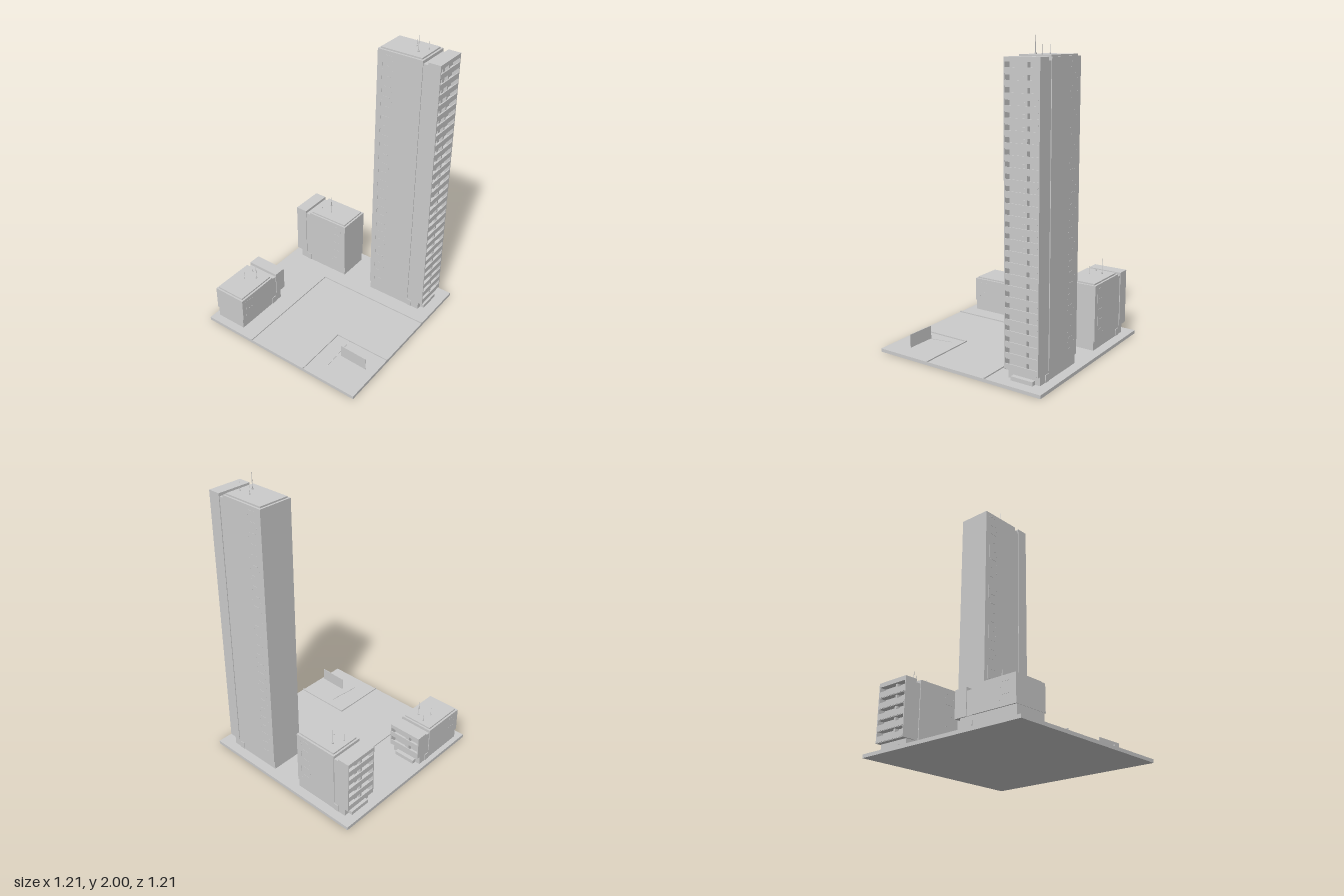
import * as THREE from 'three';

const mat = new THREE.MeshStandardMaterial({ color: 0xcccccc, flatShading: true });

// Box given by its minimum and maximum corners
function box(parent, name, x0, x1, y0, y1, z0, z1) {
  const mesh = new THREE.Mesh(new THREE.BoxGeometry(x1 - x0, y1 - y0, z1 - z0), mat);
  mesh.position.set((x0 + x1) / 2, (y0 + y1) / 2, (z0 + z1) / 2);
  mesh.name = name;
  parent.add(mesh);
  return mesh;
}

function mast(parent, x, z, y0, y1, r) {
  const pole = new THREE.Mesh(new THREE.CylinderGeometry(r * 0.6, r, y1 - y0, 6), mat);
  pole.position.set(x, (y0 + y1) / 2, z);
  pole.name = 'roofMast';
  parent.add(pole);
  box(parent, 'mastFoot', x - r * 2, x + r * 2, y0, y0 + 0.008, z - r * 2, z + r * 2);
}

// Balcony front with its corners cut off
function parapetGeometry(w, h) {
  const c = 0.007, a = w / 2;
  const s = new THREE.Shape();
  s.moveTo(-a + c, 0);
  s.lineTo(a - c, 0);
  s.lineTo(a, c);
  s.lineTo(a, h);
  s.lineTo(-a, h);
  s.lineTo(-a, c);
  return new THREE.ExtrudeGeometry(s, { depth: 0.006, bevelEnabled: false });
}

const W = 0.1175;      // half width
const STOREY = 0.0683;
const BACK = -0.435;   // the front is at z = 0

// One block of flats, facing +z, with the given number of storeys
function building(name, storeys, bottom) {
  const g = new THREE.Group();
  g.name = name;
  const top = bottom + storeys * STOREY + 0.027;

  // Ground floor, entrance step and side doors
  box(g, 'groundFloor', -W + 0.008, W - 0.008, 0.02, bottom, BACK + 0.002, -0.035);
  box(g, 'entranceStep', -0.075, 0.075, 0.02, 0.048, -0.035, -0.006);
  for (const s of [-1, 1]) {
    const x = s * (W - 0.008);
    box(g, 'sideDoor', x - 0.004, x + 0.004, 0.02, 0.07, -0.125, -0.09);
  }

  // Main volume, raised roof and the narrow joint towards the balconies
  box(g, 'mainVolume', -W, W, bottom, top, BACK, -0.12);
  box(g, 'roofDeck', -W + 0.013, W - 0.013, top, top + 0.01, BACK + 0.013, -0.133);
  box(g, 'joint', -W + 0.005, W - 0.005, bottom, top - 0.02, -0.12, -0.085);

  // Shell of the balcony stack
  box(g, 'balconyBackWall', -W, W, bottom, top, -0.085, -0.045);
  box(g, 'balconyRoof', -W, W, top - 0.027, top, -0.045, 0);
  for (const s of [-1, 1]) {
    box(g, 'balconySideWall', s > 0 ? W - 0.007 : -W, s > 0 ? W : -W + 0.007, bottom, top - 0.027, -0.045, 0);
  }

  const parapet = parapetGeometry(2 * W - 0.01, 0.036);
  for (let i = 0; i < storeys; i++) {
    const y = bottom + i * STOREY;
    // Balcony floor, front, doors and screen
    box(g, 'balconyFloor', -W + 0.007, W - 0.007, y, y + 0.008, -0.045, -0.003);
    const p = new THREE.Mesh(parapet, mat);
    p.position.set(0, y + 0.003, -0.006);
    p.name = 'balconyParapet';
    g.add(p);
    box(g, 'balconyDoor', -0.02, 0.005, y + 0.008, y + 0.056, -0.045, -0.038);
    box(g, 'balconyScreen', 0.012, 0.026, y + 0.008, y + STOREY, -0.045, -0.018);

    // Side windows: a sill between two small vents
    for (const s of [-1, 1]) {
      const x = s * W, t = 0.0012;
      box(g, 'windowSill', x - t, x + t, y + 0.064, y + 0.068, -0.385, -0.335);
      for (const z of [-0.325, -0.398]) {
        box(g, 'vent', x - t, x + t, y + 0.034, y + 0.039, z - 0.002, z + 0.002);
      }
    }
  }

  // Rain pipe on one side
  box(g, 'rainPipe', -W - 0.0015, -W, bottom + 0.01, top - 0.03, -0.402, -0.399);

  // Masts on the roof
  mast(g, -0.04, -0.2, top + 0.01, top + 0.115, 0.0025);
  for (const z of [-0.25, -0.165]) mast(g, 0.025, z, top + 0.01, top + 0.065, 0.0012);
  return g;
}

export function createModel() {
  const model = new THREE.Group();
  model.name = 'housingEstate';

  // Ground slab
  box(model, 'groundSlab', -0.605, 0.605, 0, 0.022, -0.605, 0.605);

  // Kerbs along the lawn and the corner plot
  box(model, 'lawnKerb', -0.605, 0.217, 0.02, 0.03, -0.231, -0.222);
  box(model, 'lawnKerb', 0.208, 0.217, 0.02, 0.03, -0.222, 0.605);
  box(model, 'plotKerb', -0.605, -0.217, 0.02, 0.03, 0.203, 0.212);
  box(model, 'plotKerb', -0.226, -0.217, 0.02, 0.03, 0.212, 0.605);

  // Panel and sloping rail on the corner plot
  const panel = box(model, 'signPanel', -0.398, -0.394, 0.058, 0.145, 0.36, 0.555);
  panel.rotation.y = -0.03;
  const rail = box(model, 'slopingRail', -0.5, -0.25, 0.04, 0.043, 0.324, 0.327);
  rail.rotation.z = 0.09;

  // The three blocks share one plan and differ in height
  const tower = building('tallTower', 26, 0.085);
  tower.position.set(0.43, 0, 0.54);

  const middle = building('middleBlock', 5, 0.085);
  middle.position.set(0.4325, 0, -0.56);
  middle.rotation.y = Math.PI;

  const low = building('lowBlock', 2, 0.095);
  low.position.set(-0.115, 0, -0.46);
  low.rotation.y = Math.PI / 2;

  model.add(tower, middle, low);
  return model;
}
